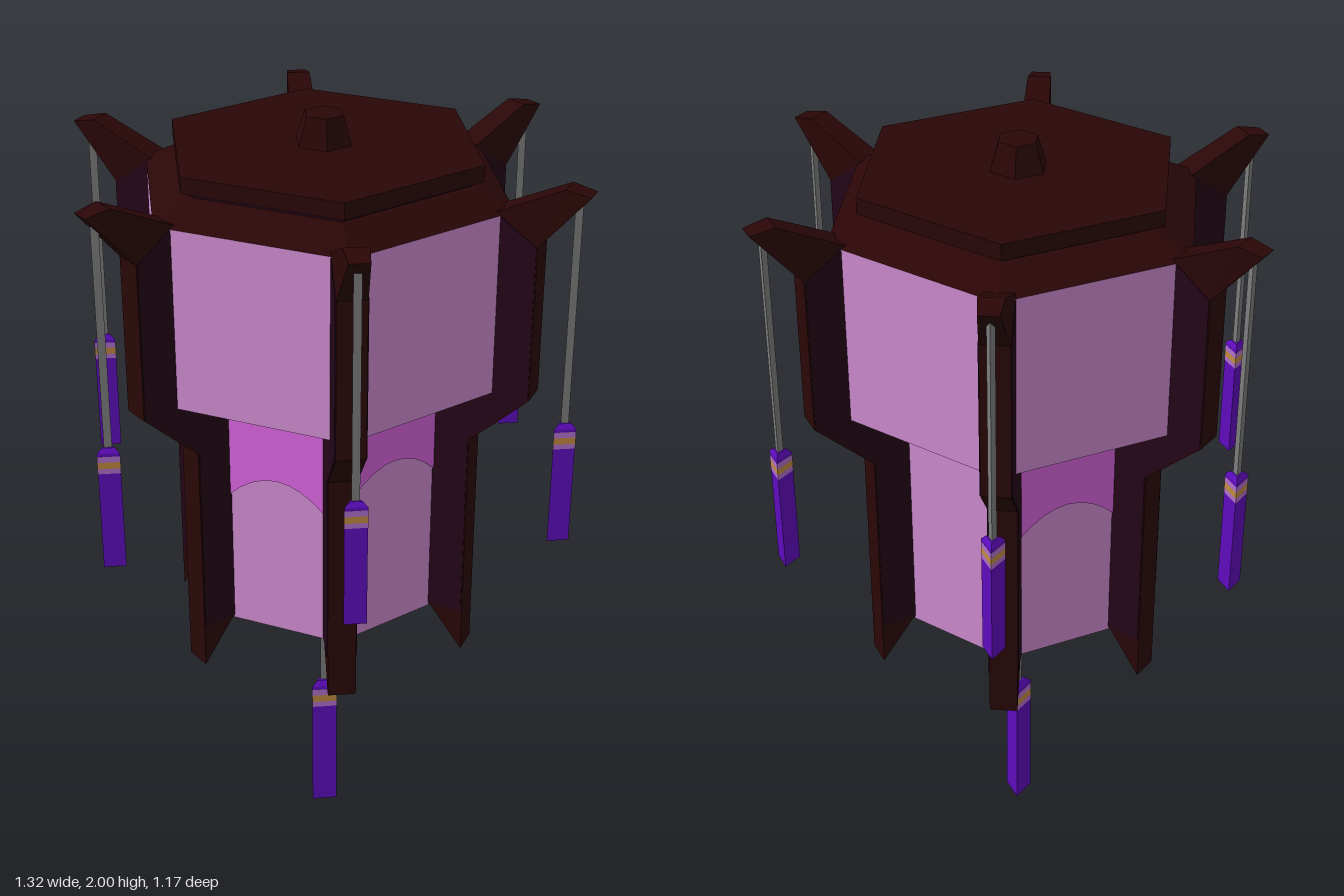
import * as THREE from 'three';

const mat = (name, color) => {
  const m = new THREE.MeshStandardMaterial({ color, flatShading: true });
  m.name = name;
  return m;
};

export function createModel() {
  const wood = mat('dark wood', 0x2a0607);
  const inlay = mat('plum inlay', 0x240519);
  const paper = mat('lilac paper', 0xcf8cd1);
  const glow = mat('magenta paper', 0xd864df);
  const violet = mat('violet silk', 0x5e0cbc);
  const gold = mat('gold band', 0xc08a40);
  const lilac = mat('lilac band', 0xb070cc);
  const grey = mat('grey cord', 0x7c7c7c);
  const charcoal = mat('charcoal frame', 0x14100e);

  const root = new THREE.Group();
  root.name = 'lantern';
  const add = (parent, name, geo, material) => {
    const mesh = new THREE.Mesh(geo, material);
    mesh.name = name;
    parent.add(mesh);
    return mesh;
  };
  // Six-sided prism or frustum with corners on the x axis
  const hex = (name, rTop, rBottom, y0, y1, material) => {
    const geo = new THREE.CylinderGeometry(rTop, rBottom, y1 - y0, 6, 1, false, Math.PI / 6);
    geo.translate(0, (y0 + y1) / 2, 0);
    return add(root, name, geo, material);
  };
  // Flat outline extruded evenly about z = 0
  const slab = (points, depth) => {
    const shape = new THREE.Shape(points.map(([x, y]) => new THREE.Vector2(x, y)));
    const geo = new THREE.ExtrudeGeometry(shape, { depth, bevelEnabled: false });
    return geo.translate(0, 0, -depth / 2);
  };

  // Paper body
  const lowerR = 0.33, upperR = 0.475;
  hex('lowerPanels', lowerR, lowerR, 0.74, 1.37, paper);
  hex('upperPanels', upperR, upperR, 1.38, 1.83, paper);
  hex('upperPanelsUnderside', upperR, lowerR, 1.36, 1.38, paper);

  // Lid and knob
  hex('roofSlope', 0.38, 0.476, 1.83, 1.875, wood);
  hex('lidNeck', 0.37, 0.37, 1.87, 1.9, inlay);
  hex('lid', 0.4, 0.4, 1.89, 1.93, wood);
  hex('knob', 0.05, 0.072, 1.93, 2.0, wood);

  // Base hub
  hex('baseHub', 0.06, 0.06, 0.73, 0.745, charcoal);

  // Three-sided tassel hanging from its cord, one corner towards +x
  const tassel = (name, x, y0, z, s, cordTop) => {
    const g = new THREE.Group();
    g.name = name;
    g.position.set(x, y0, z);
    root.add(g);
    const piece = (part, rTop, rBottom, a, b, material) => {
      const geo = new THREE.CylinderGeometry(rTop * s, rBottom * s, (b - a) * s, 3, 1, false, Math.PI / 2);
      geo.translate(0, (a + b) / 2 * s, 0);
      add(g, part, geo, material);
    };
    piece('tasselSkirt', 0.031, 0.031, 0, 0.255, violet);
    piece('lowerBand', 0.0315, 0.0315, 0.255, 0.268, lilac);
    piece('goldBand', 0.0315, 0.0315, 0.268, 0.285, gold);
    piece('upperBand', 0.0315, 0.0315, 0.285, 0.3, lilac);
    piece('tasselCollar', 0.031, 0.031, 0.3, 0.308, violet);
    piece('tasselCap', 0.018, 0.031, 0.308, 0.32, violet);
    piece('cord', 0.011 / s, 0.011 / s, 0.31, (cordTop - y0) / s, grey);
  };
  tassel('centreTassel', 0, 0, 0, 1.25, 0.74);

  // Rib outline: radius from the axis, height
  const ribGeo = slab([
    [0.28, 0.755], [0.315, 0.74], [0.4, 0.63], [0.4, 1.24], [0.545, 1.375], [0.545, 1.765],
    [0.66, 1.898], [0.6, 1.91], [0.45, 1.84], [0.42, 1.83], [0.42, 1.42], [0.28, 1.42],
  ], 0.07);
  // Narrow the rib towards the tip
  const pos = ribGeo.attributes.position;
  for (let i = 0; i < pos.count; i++) {
    const t = THREE.MathUtils.clamp((pos.getX(i) - 0.55) / 0.1, 0, 1);
    pos.setZ(i, pos.getZ(i) * (1 - 0.32 * t));
  }
  ribGeo.computeVertexNormals();
  const inlayGeo = slab([
    [0.285, 0.76], [0.316, 0.745], [0.397, 0.745], [0.397, 1.243], [0.542, 1.378],
    [0.542, 1.765], [0.45, 1.83], [0.425, 1.825], [0.425, 1.415], [0.285, 1.415],
  ], 0.074);

  for (let k = 0; k < 6; k++) {
    const angle = k * Math.PI / 3;
    const side = new THREE.Group();
    side.name = 'ribAssembly';
    side.rotation.y = angle;
    root.add(side);
    add(side, 'rib', ribGeo, wood);
    add(side, 'ribInlay', inlayGeo, inlay);
    const spoke = add(side, 'baseSpoke', new THREE.BoxGeometry(0.32, 0.012, 0.014), charcoal);
    spoke.position.set(0.16, 0.738, 0);
    tassel('tassel', 0.625 * Math.cos(angle), 1.0, 0.625 * Math.sin(angle), 1, 1.89);
  }

  // Arched magenta insets on the front and side lower panels
  const arch = new THREE.Shape();
  arch.moveTo(-0.163, 1.06);
  arch.quadraticCurveTo(0, 1.27, 0.163, 1.06);
  arch.lineTo(0.163, 1.365);
  arch.lineTo(-0.163, 1.365);
  const archGeo = new THREE.ExtrudeGeometry(arch, { depth: 0.004, bevelEnabled: false, curveSegments: 10 });
  archGeo.translate(0, 0, lowerR * Math.cos(Math.PI / 6) - 0.001);
  for (const [k, lift] of [[0, 0], [1, 0.04], [4, 0], [5, 0]]) {
    const inset = add(root, 'archedInset', archGeo, glow);
    inset.rotation.y = k * Math.PI / 3;
    inset.position.y = lift;
  }
  return root;
}
